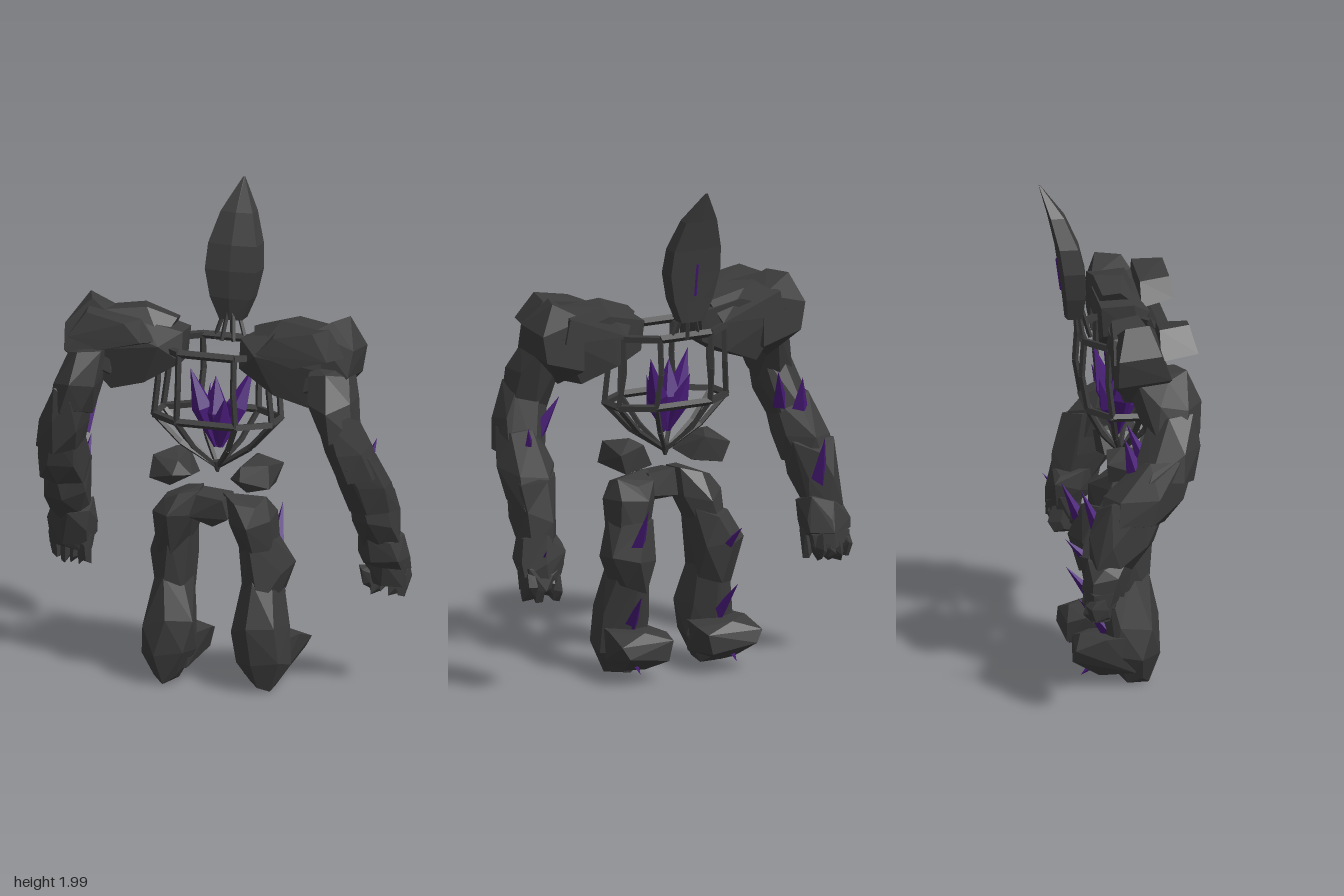
import * as THREE from 'three';
import { ConvexGeometry } from 'three/addons/geometries/ConvexGeometry.js';

export function createModel() {
  const model = new THREE.Group();
  const stone = new THREE.MeshStandardMaterial({ name: 'dark stone', color: 0x3b3b3b, flatShading: true });
  const iron = new THREE.MeshStandardMaterial({ name: 'dark iron', color: 0x393939, flatShading: true });
  const crystal = new THREE.MeshStandardMaterial({ name: 'purple crystal', color: 0x481a78, flatShading: true });
  const V = (x, y, z) => new THREE.Vector3(x, y, z);

  // Seeded jitter for the rough rock outlines
  let seed = 7;
  const rand = () => (seed = (seed * 16807) % 2147483647) / 2147483647;

  function add(name, geometry, material) {
    const mesh = new THREE.Mesh(geometry, material);
    mesh.name = name;
    model.add(mesh);
    return mesh;
  }
  // Convex rock from corner points
  const hull = (name, side, pts) =>
    add(name, new ConvexGeometry(pts.map(p => V(p[0] * side, p[1], p[2]))), stone);
  // Convex rock from level cross-sections [x, y, z, half width, half depth]
  function rock(name, side, sections, n = 6) {
    const pts = [];
    for (const [x, y, z, rx, rz] of sections) {
      const start = 0.3 + rand() * 0.5;
      for (let i = 0; i < n; i++) {
        const a = start + (i / n) * Math.PI * 2, r = 1 + rand() * 0.18;
        pts.push([x + Math.cos(a) * rx * r, y + (rand() - 0.5) * 0.05, z + Math.sin(a) * rz * r]);
      }
    }
    return hull(name, side, pts);
  }
  // Straight piece between two points: a bar, or a spike when the end radius is 0
  function bar(name, a, b, r0, r1, material, sides = 4) {
    const d = b.clone().sub(a);
    const mesh = add(name, new THREE.CylinderGeometry(r1, r0, d.length(), sides), material);
    mesh.position.copy(a).addScaledVector(d, 0.5);
    mesh.quaternion.setFromUnitVectors(V(0, 1, 0), d.normalize());
    return mesh;
  }
  const spike = (name, [a, b, r]) => bar(name, V(...a), V(...b), r, 0, crystal);

  for (const s of [1, -1]) {
    // Shoulder: layered inner slabs, outer cap and front boulder
    hull('shoulderSlab', s, [
      [0.12, 1.46, 0.1], [0.12, 1.34, 0.12], [0.13, 1.45, -0.03], [0.14, 1.33, -0.02],
      [0.28, 1.49, 0.1], [0.3, 1.49, -0.05], [0.27, 1.25, 0.14], [0.41, 1.21, 0.13],
      [0.4, 1.22, 0.0], [0.25, 1.28, -0.03], [0.54, 1.36, 0.15], [0.52, 1.42, -0.04],
      [0.45, 1.48, 0.13], [0.2, 1.41, 0.17]]);
    hull('shoulderRidge', s, [
      [0.16, 1.5, 0.05], [0.17, 1.49, -0.02], [0.28, 1.54, 0.07], [0.32, 1.53, -0.04], [0.46, 1.52, 0.1],
      [0.48, 1.5, -0.05], [0.2, 1.42, 0.14], [0.22, 1.4, -0.05], [0.5, 1.4, 0.14], [0.5, 1.4, -0.05]]);
    hull('shoulderCap', s, [
      [0.43, 1.52, 0.12], [0.41, 1.49, -0.04], [0.5, 1.56, 0.09], [0.54, 1.56, -0.01],
      [0.6, 1.46, 0.13], [0.6, 1.44, -0.04], [0.59, 1.36, 0.17], [0.58, 1.33, -0.04],
      [0.4, 1.28, 0.16], [0.41, 1.28, -0.04], [0.48, 1.22, 0.05]]);
    hull('shoulderBoulder', s, [
      [0.24, 1.45, 0.27], [0.22, 1.42, 0.14], [0.28, 1.51, 0.14], [0.31, 1.52, 0.26],
      [0.47, 1.55, 0.25], [0.5, 1.54, 0.13], [0.54, 1.45, 0.28], [0.57, 1.43, 0.13],
      [0.4, 1.41, 0.28], [0.38, 1.4, 0.13]]);

    // Arm: overlapping boulders from shoulder to wrist
    rock('upperArm', s, [[0.5, 1.37, 0.11, 0.08, 0.12], [0.53, 1.26, 0.175, 0.09, 0.105], [0.56, 1.12, 0.175, 0.075, 0.095]]);
    rock('elbow', s, [[0.55, 1.2, 0.18, 0.075, 0.095], [0.59, 1.07, 0.165, 0.085, 0.105], [0.62, 0.95, 0.12, 0.08, 0.12]]);
    rock('upperForearm', s, [[0.61, 1.03, 0.14, 0.075, 0.105], [0.63, 0.9, 0.055, 0.092, 0.145], [0.64, 0.78, 0.0, 0.085, 0.125]]);
    rock('lowerForearm', s, [[0.63, 0.87, 0.01, 0.085, 0.125], [0.64, 0.74, -0.03, 0.08, 0.12], [0.65, 0.62, -0.08, 0.07, 0.08]]);
    rock('wrist', s, [[0.64, 0.65, -0.075, 0.08, 0.09], [0.65, 0.58, -0.095, 0.095, 0.09], [0.655, 0.52, -0.11, 0.088, 0.075]]);
    // Hand and fingers
    rock('palm', s, [[0.655, 0.54, -0.11, 0.085, 0.07], [0.66, 0.47, -0.12, 0.078, 0.06]]);
    for (let i = 0; i < 4; i++)
      rock('finger', s, [[0.605 + i * 0.038, 0.51, -0.125, 0.022, 0.045], [0.605 + i * 0.038, 0.46, -0.135, 0.024, 0.05],
        [0.605 + i * 0.037, 0.425, -0.125, 0.019, 0.04]], 5);
    rock('thumb', s, [[0.58, 0.52, -0.07, 0.022, 0.03], [0.585, 0.44, -0.08, 0.02, 0.025]], 5);

    // Floating hip stone
    hull('hipStone', s, [
      [0.08, 0.88, 0.11], [0.09, 0.86, -0.02], [0.13, 0.94, 0.13], [0.17, 0.97, 0.02], [0.24, 0.95, 0.11],
      [0.25, 0.92, -0.05], [0.25, 0.86, 0.13], [0.16, 0.84, 0.14], [0.22, 0.84, -0.04], [0.14, 0.95, -0.04],
      [0.12, 0.85, 0.0], [0.14, 0.89, 0.17]]);

    // Leg: thigh, knee, shin
    rock('thigh', s, [[0.13, 0.8, 0.07, 0.075, 0.08], [0.155, 0.72, 0.055, 0.09, 0.12], [0.18, 0.57, 0.025, 0.065, 0.1]]);
    rock('knee', s, [[0.165, 0.66, 0.02, 0.075, 0.11], [0.2, 0.52, -0.02, 0.09, 0.115], [0.185, 0.38, 0.0, 0.07, 0.11]]);
    rock('shin', s, [[0.185, 0.45, 0.01, 0.065, 0.1], [0.185, 0.27, 0.05, 0.1, 0.11], [0.2, 0.13, 0.055, 0.1, 0.095], [0.2, 0.03, 0.06, 0.045, 0.055]]);
    // Foot, widening towards -z
    hull('foot', s, [
      [0.1, 0.21, 0.06], [0.28, 0.22, 0.06], [0.12, 0.07, 0.06], [0.27, 0.07, 0.06], [0.07, 0.2, -0.1],
      [0.31, 0.22, -0.06], [0.08, 0.18, -0.17], [0.32, 0.18, -0.18], [0.1, 0.1, -0.17], [0.29, 0.13, -0.19],
      [0.2, 0.22, -0.15], [0.17, 0.06, -0.1], [0.25, 0.06, -0.08]]);

    // Crystal spikes on the lower legs
    for (const [[x, y, z], [u, v, w], r] of [
      [[0.2, 0.23, -0.04], [0.22, 0.37, -0.16], 0.032],
      [[0.22, 0.1, -0.1], [0.22, 0.055, -0.15], 0.018]])
      spike('shinSpike', [[x * s, y, z], [u * s, v, w], r]);
  }

  // Spikes that differ between the two arms and thighs
  for (const p of [
    [[-0.62, 0.71, -0.1], [-0.6, 0.92, -0.19], 0.042],
    [[-0.61, 1.0, 0.02], [-0.6, 1.13, -0.02], 0.035],
    [[-0.55, 1.01, 0.07], [-0.5, 1.16, 0.0], 0.035],
    [[0.56, 1.02, 0.08], [0.49, 1.18, 0.02], 0.04],
    [[0.62, 0.96, 0.03], [0.65, 1.07, -0.01], 0.028],
    [[0.66, 0.53, -0.12], [0.68, 0.62, -0.2], 0.022]]) spike('armSpike', p);
  for (const p of [
    [[0.2, 0.54, -0.09], [0.2, 0.72, -0.18], 0.035],
    [[-0.19, 0.48, -0.08], [-0.21, 0.61, -0.21], 0.035]]) spike('thighSpike', p);

  // Pelvis stone
  hull('pelvis', 1, [
    [-0.05, 0.82, 0.04], [0.07, 0.81, 0.04], [-0.05, 0.81, 0.14], [0.06, 0.8, 0.15], [-0.08, 0.72, 0.15],
    [0.08, 0.72, 0.14], [0.01, 0.68, 0.12], [-0.06, 0.71, 0.03], [0.06, 0.72, 0.03]]);

  // Rib cage: two octagonal hoops, upright ribs and ribs gathered at the bottom
  const corners = [[1, 0.4], [0.5, 1], [-0.5, 1], [-1, 0.4], [-1, -0.4], [-0.5, -1], [0.5, -1], [1, -0.4]];
  const hoop = (i, y, rx, rz, cz) => V(corners[i % 8][0] * rx, y, cz + corners[i % 8][1] * rz);
  const tip = V(0, 0.9, 0.03);
  for (let i = 0; i < 8; i++) {
    const top = hoop(i, 1.39, 0.23, 0.145, 0.02), topNext = hoop(i + 1, 1.39, 0.23, 0.145, 0.02);
    const mid = hoop(i, 1.25, 0.23, 0.155, 0.02);
    const low = hoop(i, 1.11, 0.245, 0.14, 0.03), lowNext = hoop(i + 1, 1.11, 0.245, 0.14, 0.03);
    bar('topHoop', top, topNext, 0.017, 0.017, iron);
    bar('middleHoop', low, lowNext, 0.016, 0.016, iron);
    bar('rib', low, mid, 0.013, 0.013, iron);
    bar('rib', mid, top, 0.013, 0.013, iron);
    // Lower ribs bow slightly outwards
    const bow = tip.clone().lerp(low, 0.58).add(V(0, -0.025, 0));
    bar('lowerRib', tip, bow, 0.009, 0.012, iron);
    bar('lowerRib', bow, low, 0.012, 0.012, iron);
  }
  bar('cageTip', V(0, 0.88, 0.03), V(0, 0.925, 0.03), 0.006, 0.025, iron, 5);
  // Neck rods
  for (const [x, z] of [[-0.065, -0.12], [0.065, -0.12], [-0.025, -0.09], [0.025, -0.09], [0, -0.14]])
    bar('neckRod', V(x, 1.38, z), V(x * 0.4, 1.5, z * 0.5 - 0.08), 0.009, 0.009, iron);

  // Crystal cluster inside the cage
  for (const [x, y, z, r] of [[-0.01, 1.27, 0.02, 0.055], [-0.11, 1.3, 0.04, 0.045], [0.12, 1.3, -0.06, 0.045],
    [0.05, 1.2, 0.09, 0.04], [-0.06, 1.22, -0.06, 0.04]]) {
    const end = V(x, y, z), root = V(x * 0.1, 0.98, 0.02), belly = root.clone().lerp(end, 0.5);
    bar('heartCrystal', root, belly, 0.008, r, crystal, 5);
    bar('heartCrystal', belly, end, r, 0, crystal, 5);
  }

  // Head: broad leaf-shaped helmet leaning back; rows are [y, front z, back z, half width]
  const rows = [[1.46, -0.115, -0.19, 0.05], [1.55, -0.105, -0.2, 0.088], [1.66, -0.11, -0.215, 0.112],
    [1.76, -0.135, -0.23, 0.106], [1.88, -0.19, -0.258, 0.07], [2.0, -0.285, -0.292, 0.004]];
  const ring = ([y, f, b, w]) => {
    const z = t => f + (b - f) * t;
    return [[0, y, f], [w * 0.95, y, z(0.12)], [w, y, z(0.9)], [w * 0.45, y, z(0.96)], [0, y, b],
      [-w * 0.45, y, z(0.96)], [-w, y, z(0.9)], [-w * 0.95, y, z(0.12)]];
  };
  const pos = [], index = [];
  for (const r of rows) for (const p of ring(r)) pos.push(...p);
  for (let j = 0; j < rows.length - 1; j++) for (let i = 0; i < 8; i++) {
    const a = j * 8 + i, b = j * 8 + (i + 1) % 8;
    index.push(a, b, b + 8, a, b + 8, a + 8);
  }
  const last = (rows.length - 1) * 8;
  for (let i = 1; i < 7; i++) index.push(0, i + 1, i, last, last + i, last + i + 1);
  const leaf = new THREE.BufferGeometry();
  leaf.setAttribute('position', new THREE.Float32BufferAttribute(pos, 3));
  leaf.setIndex(index);
  leaf.computeVertexNormals();
  add('head', leaf, stone);
  // Crystal slit along the ridge
  bar('eyeSlit', V(0, 1.57, -0.202), V(0, 1.7, -0.22), 0.006, 0.006, crystal);

  return model;
}
